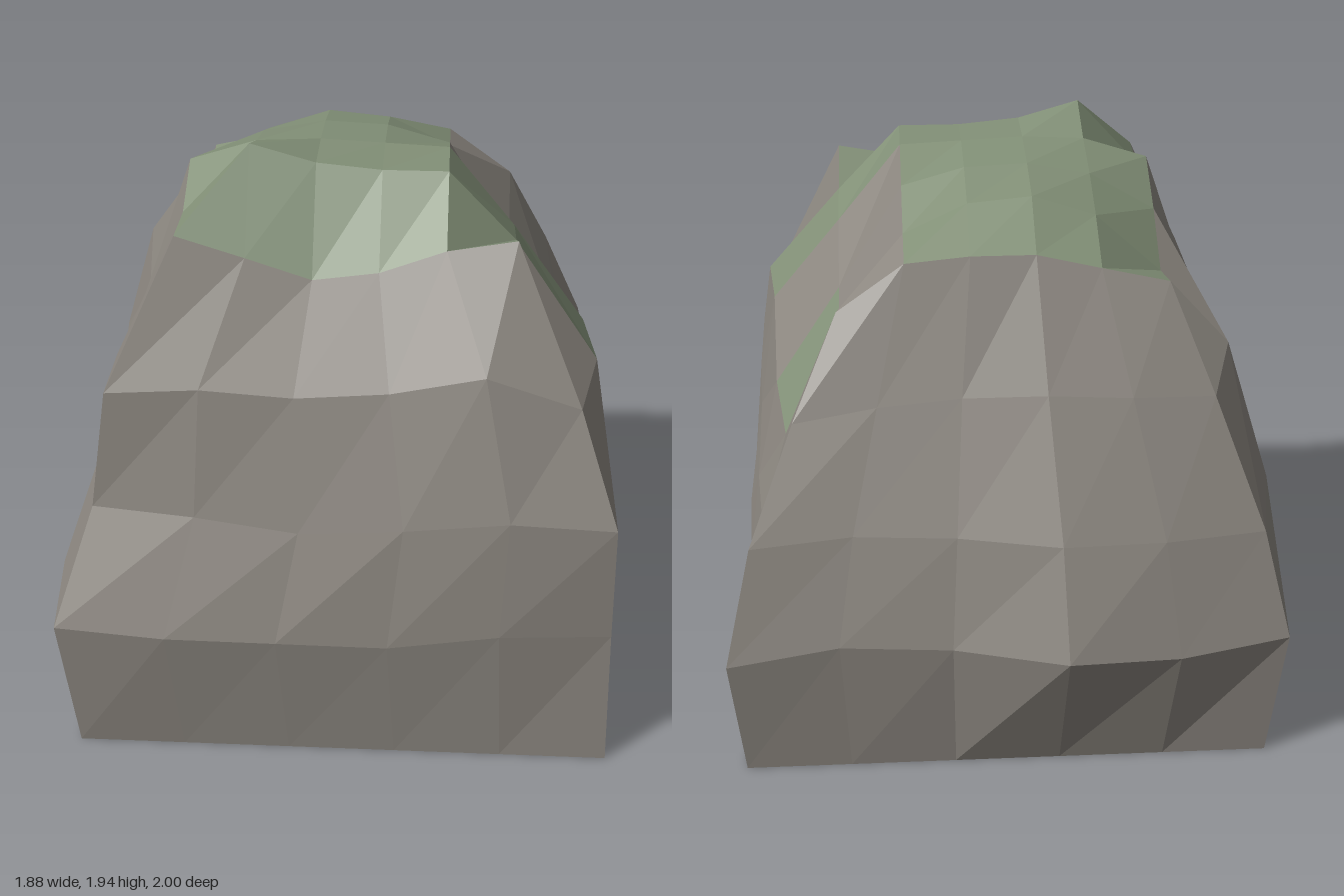
import * as THREE from 'three';

// Faceted, open-bottomed boulder: four side grids (5 x 4 cells) and a top grid (5 x 5 cells).
const N = 5;

// Top: evenly spaced in x and z, only the heights vary (rows run back to front).
const TOP_X = [-0.52, -0.30, -0.09, 0.12, 0.33, 0.55];
const TOP_Z = [-0.47, -0.26, -0.05, 0.17, 0.38, 0.59];
const TOP_Y = [
  [1.60, 1.65, 1.70, 1.70, 1.68, 1.52],
  [1.55, 1.75, 1.82, 1.80, 1.70, 1.34],
  [1.69, 1.82, 1.86, 1.85, 1.79, 1.43],
  [1.80, 1.87, 1.88, 1.87, 1.86, 1.59],
  [1.70, 1.94, 1.88, 1.86, 1.86, 1.63],
  [1.71, 1.64, 1.57, 1.60, 1.68, 1.72],
];

// Sides, running anticlockwise seen from above. out: coordinate along the side's own axis;
// y: height. One row for each of the three middle levels, base is flat.
const SIDES = [
  { axis: 'z', base: 0.94, // front, -x to +x
    out: [[0.98, 1.0, 0.99, 0.98, 0.97, 0.93], [0.81, 0.86, 0.89, 0.92, 0.94, 0.93], [0.78, 0.78, 0.78, 0.79, 0.82, 0.80]],
    y: [[0.485, 0.47, 0.46, 0.45, 0.50, 0.49], [0.85, 0.85, 0.82, 0.86, 0.91, 0.89], [1.25, 1.27, 1.25, 1.28, 1.36, 1.25]] },
  { axis: 'x', base: 0.90, // +x side, front to back
    out: [[0.89, 0.92, 0.92, 0.90, 0.92, 0.94], [0.885, 0.88, 0.86, 0.86, 0.83, 0.85], [0.76, 0.82, 0.79, 0.78, 0.74, 0.70]],
    y: [[0.49, 0.48, 0.465, 0.43, 0.41, 0.44], [0.89, 0.86, 0.85, 0.73, 0.73, 0.83], [1.25, 1.28, 1.28, 1.08, 1.02, 1.20]] },
  { axis: 'z', base: -0.81, // back, +x to -x
    out: [[-0.86, -0.855, -0.875, -1.0, -0.94, -0.86], [-0.77, -0.76, -0.79, -0.87, -0.84, -0.77], [-0.62, -0.62, -0.63, -0.67, -0.66, -0.62]],
    y: [[0.44, 0.50, 0.49, 0.50, 0.47, 0.485], [0.83, 0.86, 0.86, 0.86, 0.85, 0.84], [1.20, 1.25, 1.28, 1.30, 1.28, 1.26]] },
  { axis: 'x', base: -0.86, // -x side, back to front
    out: [[-0.905, -0.90, -0.87, -0.90, -0.945, -0.91], [-0.82, -0.88, -0.84, -0.80, -0.82, -0.79], [-0.66, -0.745, -0.72, -0.745, -0.74, -0.735]],
    y: [[0.485, 0.41, 0.475, 0.475, 0.50, 0.485], [0.84, 0.87, 0.85, 0.84, 0.86, 0.85], [1.26, 1.32, 1.20, 1.16, 1.24, 1.25]] },
];

const topPoint = (i, j) => [TOP_X[i], TOP_Y[j][i], TOP_Z[j]];
const rim = [
  (k) => topPoint(k, N), (k) => topPoint(N, N - k),
  (k) => topPoint(N - k, 0), (k) => topPoint(0, k),
];

// Point k along side s at a level from 0 (base) to 4 (rim).
function sidePoint(s, level, k) {
  if (level === 4) return rim[s](k);
  const side = SIDES[s];
  const reach = (other, i) => (level ? other.out[level - 1][i] : other.base);
  const start = reach(SIDES[(s + 3) % 4], N);
  const end = reach(SIDES[(s + 1) % 4], 0);
  const along = start + (end - start) * (k / N);
  const out = reach(side, k);
  const y = level ? side.y[level - 1][k] : 0;
  return side.axis === 'z' ? [along, y, out] : [out, y, along];
}

// Corners: upper left, lower left, lower right, upper right.
const addQuad = (list, a, b, c, d) => list.push(...a, ...b, ...d, ...b, ...c, ...d);

function facetedMesh(name, positions, material) {
  const geometry = new THREE.BufferGeometry();
  geometry.setAttribute('position', new THREE.Float32BufferAttribute(positions, 3));
  geometry.computeVertexNormals();
  const mesh = new THREE.Mesh(geometry, material);
  mesh.name = name;
  return mesh;
}

export function createModel() {
  const stone = new THREE.MeshStandardMaterial({ color: 0x8d8881, flatShading: true, side: THREE.DoubleSide });
  stone.name = 'stone grey';
  const moss = new THREE.MeshStandardMaterial({ color: 0x839178, flatShading: true, side: THREE.DoubleSide });
  moss.name = 'moss green';

  const stoneSides = [], stoneTop = [], mossTop = [], mossPatches = [];

  // Side walls, with two mossy cells under the rim on the +x side
  for (let s = 0; s < 4; s++) {
    for (let level = 0; level < 4; level++) {
      for (let k = 0; k < N; k++) {
        const mossy = s === 1 && level === 3 && (k === 1 || k === 3);
        addQuad(mossy ? mossPatches : stoneSides,
          sidePoint(s, level + 1, k), sidePoint(s, level, k),
          sidePoint(s, level, k + 1), sidePoint(s, level + 1, k + 1));
      }
    }
  }

  // Crown, mossy except for the steep strip at +x
  for (let j = 0; j < N; j++) {
    for (let i = 0; i < N; i++) {
      const bare = i === N - 1 && j < 3;
      addQuad(bare ? stoneTop : mossTop,
        topPoint(i, j), topPoint(i, j + 1), topPoint(i + 1, j + 1), topPoint(i + 1, j));
    }
  }

  const group = new THREE.Group();
  group.name = 'mossyBoulder';
  group.add(
    facetedMesh('rockSides', stoneSides, stone),
    facetedMesh('rockShoulder', stoneTop, stone),
    facetedMesh('mossCap', mossTop, moss),
    facetedMesh('mossPatches', mossPatches, moss),
  );
  return group;
}
